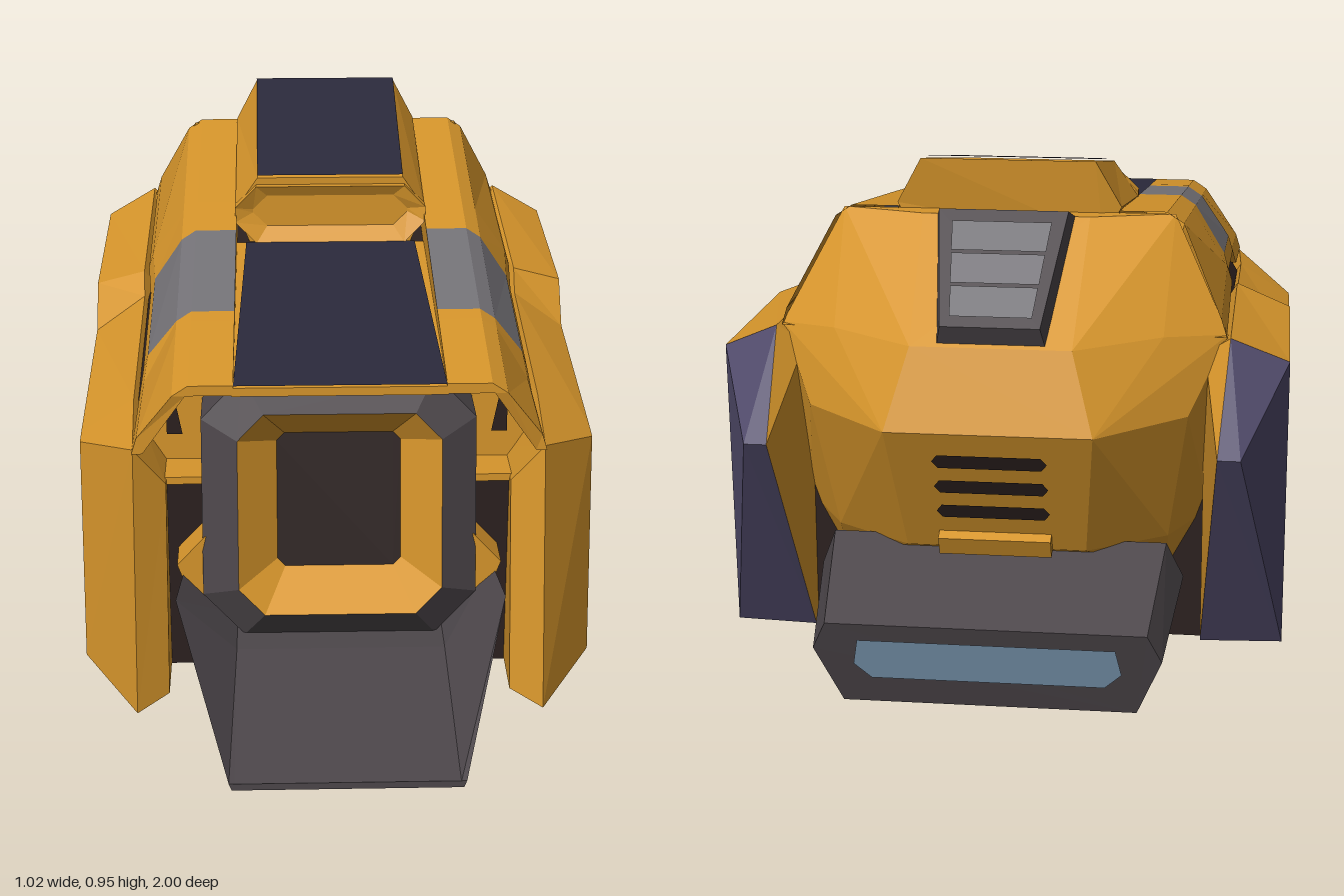
import * as THREE from 'three';
import { ConvexGeometry } from 'three/addons/geometries/ConvexGeometry.js';

const mat = (name, color) => {
  const m = new THREE.MeshStandardMaterial({ color, side: THREE.DoubleSide });
  m.name = name;
  return m;
};

export function createModel() {
  const root = new THREE.Group();
  root.name = 'armouredPod';
  const orange = mat('orange paint', 0xd6952b);
  const navy = mat('navy panel', 0x2a293b);
  const purple = mat('purple armour', 0x504a6a);
  const grey = mat('grey stripe', 0x757378);
  const iron = mat('dark iron', 0x4c464a);
  const brown = mat('dark interior', 0x2b201f);
  const blue = mat('blue light', 0x7d9bb5);

  // Flat-shaded mesh from convex polygons
  function add(name, material, polys) {
    const pos = [];
    for (const p of polys)
      for (let i = 1; i < p.length - 1; i++) pos.push(...p[0], ...p[i], ...p[i + 1]);
    const g = new THREE.BufferGeometry();
    g.setAttribute('position', new THREE.Float32BufferAttribute(pos, 3));
    g.computeVertexNormals();
    const mesh = new THREE.Mesh(g, material);
    mesh.name = name;
    root.add(mesh);
  }
  const flip = (polys) => polys.map((p) => p.map(([x, y, z]) => [-x, y, z]).reverse());
  const pair = (name, material, polys) => {
    add(name + 'Left', material, polys);
    add(name + 'Right', material, flip(polys));
  };
  // Quads between successive rings, with optional end caps
  function loft(rings, capA = true, capB = true) {
    const polys = [];
    for (let r = 0; r < rings.length - 1; r++) {
      const a = rings[r], b = rings[r + 1], n = a.length;
      for (let i = 0; i < n; i++) {
        const j = (i + 1) % n;
        polys.push([a[i], b[i], b[j], a[j]]);
      }
    }
    if (capA) polys.push(rings[0]);
    if (capB) polys.push([...rings[rings.length - 1]].reverse());
    return polys;
  }
  // Symmetric ring from its +x half
  const sym = (half) => [...half, ...half.map(([x, y, z]) => [-x, y, z]).reverse()];
  const oct = (w, y0, y1, c, zAt) =>
    sym([[w - c, y0], [w, y0 + c], [w, y1 - c], [w - c, y1]].map(([x, y]) => [x, y, zAt(y)]));
  const slab = (x0, x1, y0, y1, z) => [[x0, y0, z], [x1, y0, z], [x1, y1, z], [x0, y1, z]];

  // Upper shell: sloped stations [top z, top y, bottom z, bottom y, thickness, bottom x]
  const stations = [
    [0.53, 0.66, 0.5, 0.51, 0.02, 0.396], [0.29, 0.7, 0.27, 0.532, 0.04, 0.392],
    [0.25, 0.706, 0.225, 0.572, 0.04, 0.385], [-0.09, 0.763, -0.11, 0.617, 0.07, 0.385],
    [-0.22, 0.785, -0.25, 0.628, 0.07, 0.395], [-0.64, 0.855, -0.74, 0.655, 0.07, 0.398],
  ].map(([zt, yt, zb, yb, d, x]) => [
    [0.2, yt, zt], [0.285, yt, zt], [0.315, yt - 0.02, zt], [x - 0.01, yb + 0.032, zb],
    [x, yb, zb], [0.375, yb, zb], [0.29, yt - d, zt], [0.2, yt - d, zt],
  ]);
  for (let i = 0; i < 5; i++) {
    const quads = loft([stations[i], stations[i + 1]], false, false);
    if (i === 2) pair('shellStripe', grey, quads.splice(0, 3));
    pair('shellSection' + (i + 1), orange, quads);
  }
  const s = stations[0];
  pair('shellLip', orange, [[s[0], s[1], s[6], s[7]], [s[1], s[2], s[6]], [s[2], s[3], s[5], s[6]], [s[3], s[4], s[5]]]);

  // Sunken roof panel
  add('roofTrough', orange, loft([slab(-0.203, 0.203, 0.638, 0.655, 0.53), slab(-0.203, 0.203, 0.69, 0.712, -0.16)]));
  add('roofPanel', navy, [[[-0.2, 0.66, 0.532], [0.2, 0.66, 0.532], [0.18, 0.717, -0.15], [-0.18, 0.717, -0.15]]]);

  // Raised roof block with a recessed front intake
  add('roofBlock', orange, loft([
    sym([[0.17, 0.7, -0.18], [0.203, 0.78, -0.18], [0.155, 0.85, -0.18]]),
    sym([[0.17, 0.8, -0.63], [0.203, 0.86, -0.63], [0.157, 0.945, -0.645]]),
  ]));
  add('roofBlockPanel', navy, [[[-0.155, 0.855, -0.182], [0.155, 0.855, -0.182], [0.157, 0.95, -0.645], [-0.157, 0.95, -0.645]]]);
  add('roofIntake', orange, loft([
    oct(0.203, 0.715, 0.835, 0.045, () => -0.19),
    oct(0.203, 0.715, 0.835, 0.045, (y) => -0.145 - (y - 0.715) * 0.15),
    oct(0.165, 0.745, 0.812, 0.03, () => -0.175),
  ], false));

  // Inner core seen through the side slits
  const coreFront = sym([[0.37, 0.42, 0.33], [0.37, 0.54, 0.33], [0.28, 0.64, 0.33]]);
  add('core', brown, loft([
    coreFront,
    sym([[0.395, 0.42, 0.25], [0.395, 0.52, 0.25], [0.28, 0.65, 0.25]]),
    sym([[0.395, 0.42, -0.2], [0.395, 0.575, -0.2], [0.28, 0.71, -0.2]]),
    sym([[0.37, 0.42, -0.66], [0.37, 0.64, -0.66], [0.28, 0.77, -0.66]]),
  ], false));
  add('coreFront', orange, [coreFront]);
  pair('coreSlot', brown, [[[0.305, 0.48, 0.334], [0.336, 0.48, 0.334], [0.336, 0.56, 0.334], [0.32, 0.56, 0.334]]]);
  pair('frontLedge', orange, loft([slab(0.2, 0.395, 0.41, 0.425, 0.42), slab(0.2, 0.37, 0.41, 0.425, 0.3)]));

  // Underbody with a deep central channel
  pair('underbody', brown, loft([slab(0.08, 0.337, 0.01, 0.41, 0.41), slab(0.08, 0.37, 0.06, 0.42, -0.68)]));
  add('channelRoof', grey, loft([slab(-0.08, 0.08, 0.2, 0.41, 0.41), slab(-0.08, 0.08, 0.22, 0.42, -0.68)]));
  pair('channelWall', grey, [[[0.078, 0.04, 0.408], [0.078, 0.2, 0.408], [0.078, 0.22, -0.67], [0.078, 0.085, -0.67]]]);
  pair('channelEdge', orange, [[[0.078, 0.012, 0.408], [0.078, 0.04, 0.408], [0.078, 0.085, -0.67], [0.078, 0.062, -0.67]]]);

  // Side skirts
  const out = (...zy) => zy.map(([z, y]) => [0.51, y, z]);
  const ridge = [[0.395, 0.51, 0.48], [0.403, 0.53, 0.27], [0.403, 0.582, -0.19], [0.405, 0.622, -0.24], [0.405, 0.657, -0.75]];
  const edge = [[0.51, 0.455, 0.31], [0.51, 0.46, 0.27], [0.51, 0.5, -0.2], [0.51, 0.585, -0.27], [0.51, 0.605, -0.71]];
  const inner = [[0.335, 0.42, 0.44], [0.335, 0.42, 0.27], [0.36, 0.5, -0.2], [0.36, 0.55, -0.27], [0.36, 0.62, -0.72]];
  const toe = [0.395, 0, 0.59], heel = [0.335, 0.01, 0.53];
  const tip = [0.43, 0.49, -0.922], tipIn = [0.39, 0.49, -0.922];
  const rearFoot = [0.51, 0.06, -0.69], rearFootIn = [0.36, 0.06, -0.7];
  const skirt = [
    [heel, toe, ridge[0], inner[0]],
    [toe, [0.51, 0.01, 0.37], edge[0], ridge[0]],
    out([0.37, 0.01], [0.33, 0.01], [0.22, 0.205], [0.31, 0.455]),
    out([0.31, 0.455], [0.22, 0.205], [0.27, 0.46]),
    out([0.27, 0.46], [0.22, 0.205], [-0.2, 0.257], [-0.2, 0.5]),
    out([-0.2, 0.5], [-0.2, 0.257], [-0.47, 0.29], [-0.27, 0.585]),
    out([-0.27, 0.585], [-0.47, 0.29], [-0.71, 0.605]),
    [heel, inner[0], inner[1], [0.335, 0.02, 0.27]],
    [[0.335, 0.02, 0.27], inner[1], inner[4], rearFootIn],
    [heel, rearFootIn, rearFoot, [0.51, 0.01, 0.37], toe],
    [inner[4], tipIn, rearFootIn],
    [inner[4], ridge[4], tipIn],
  ];
  for (let i = 0; i < 4; i++) {
    skirt.push([edge[i], edge[i + 1], ridge[i + 1], ridge[i]]);
    skirt.push([ridge[i], ridge[i + 1], inner[i + 1], inner[i]]);
  }
  pair('skirt', orange, skirt);
  pair('skirtArmour', purple, [
    out([0.33, 0.01], [-0.69, 0.06], [-0.47, 0.29], [0.22, 0.205]),
    out([-0.47, 0.29], [-0.69, 0.06], [-0.71, 0.605]),
    [edge[4], tip, ridge[4]],
    [edge[4], rearFoot, tip],
    [ridge[4], tip, tipIn],
    [tip, rearFoot, rearFootIn, tipIn],
  ]);

  // Front hatch: leaning bevelled frame, recess and dark opening
  const lean = (z) => (y) => z - 0.2 * (y - 0.4);
  const frameIn = oct(0.195, 0.2, 0.585, 0.05, lean(0.53));
  const recess = oct(0.12, 0.26, 0.52, 0.015, lean(0.45));
  add('hatchFrame', iron, loft([
    oct(0.265, 0.135, 0.635, 0.08, lean(0.32)), oct(0.265, 0.135, 0.635, 0.08, lean(0.47)), frameIn,
  ], false, false));
  add('hatchRecess', orange, loft([frameIn, recess], false, false));
  add('hatchOpening', brown, [recess]);
  pair('hatchCollar', orange, loft([0.49, 0.38].map((z) =>
    [[0.22, 0.115, z], [0.26, 0.115, z], [0.315, 0.27, z], [0.26, 0.33, z], [0.22, 0.33, z]])));

  // Boarding ramp with raised sides
  const ramp = [
    [0.45, 0.3, 0.25, 0.14, 0.11], [0.59, 0.315, 0.245, 0.138, 0.105], [1, 0.21, 0.095, 0.094, 0.082],
  ].map(([z, w, yt, yf, yb]) => sym([[0.205, yb, z], [w, yt, z], [0.2, yf, z]]));
  add('ramp', iron, loft(ramp, false, false));
  add('rampEnd', iron, [[ramp[2][0], ramp[2][1], ramp[2][4], ramp[2][5]]]);

  // Faceted rear hull
  const rearHalf = [
    [0.3, 0.85, -0.63], [0.4, 0.655, -0.72], [0.37, 0.3, -0.65], [0.3, 0.18, -0.66],
    [0.15, 0.85, -0.67], [0.14, 0.67, -0.9], [0.29, 0.67, -0.8], [0.18, 0.53, -0.95],
    [0.335, 0.53, -0.81], [0.16, 0.28, -0.83], [0.3, 0.28, -0.74],
  ];
  const rear = new THREE.Mesh(new ConvexGeometry(sym(rearHalf).map((p) => new THREE.Vector3(...p))), orange);
  rear.name = 'rearHull';
  root.add(rear);

  // Rear roof vent with three slats
  const onSlope = (x, t, o) => [x, 0.85 - 0.18 * t + 0.787 * o, -0.67 - 0.23 * t - 0.616 * o];
  const plate = (w0, w1, t0, t1, o) =>
    [onSlope(-w0, t0, o), onSlope(w0, t0, o), onSlope(w1, t1, o), onSlope(-w1, t1, o)];
  add('rearVentFrame', iron, loft([plate(0.125, 0.095, -0.02, 0.98, -0.01), plate(0.115, 0.086, 0.06, 0.94, 0.036)]));
  for (let i = 0; i < 3; i++) {
    const t = 0.16 + i * 0.245, w = 0.088 - i * 0.006;
    add('rearVentSlat' + (i + 1), grey, [plate(w, w - 0.005, t, t + 0.222, 0.04)]);
  }

  // Rear exhaust slots and lip
  const onBack = (x, t, o) => [x, 0.53 - 0.25 * t - 0.43 * o, -0.95 + 0.12 * t - 0.9 * o];
  for (let i = 0; i < 3; i++) {
    const t = 0.22 + i * 0.22, h = 0.055;
    add('rearSlot' + (i + 1), brown, [[
      [-0.1, t], [-0.09, t - h], [0.09, t - h], [0.1, t], [0.09, t + h], [-0.09, t + h],
    ].map(([x, u]) => onBack(x, u, 0.005))]);
  }
  add('rearLip', orange, loft([-0.01, 0.02].map((o) =>
    [onBack(-0.1, 0.86, o), onBack(0.1, 0.86, o), onBack(0.1, 1, o), onBack(-0.1, 1, o)])));

  // Tail box with a light bar
  add('tailBox', iron, loft([
    sym([[0.28, 0.06, -0.69], [0.33, 0.21, -0.76], [0.3, 0.285, -0.79]]),
    sym([[0.26, 0.025, -0.943], [0.305, 0.14, -0.982], [0.28, 0.195, -1]]),
  ]));
  const backZ = (y) => -1.003 + (0.195 - y) * 0.333;
  add('tailLight', blue, [sym([[0.205, 0.08, backZ(0.08)], [0.235, 0.11, backZ(0.11)], [0.225, 0.162, backZ(0.162)]])]);

  return root;
}
